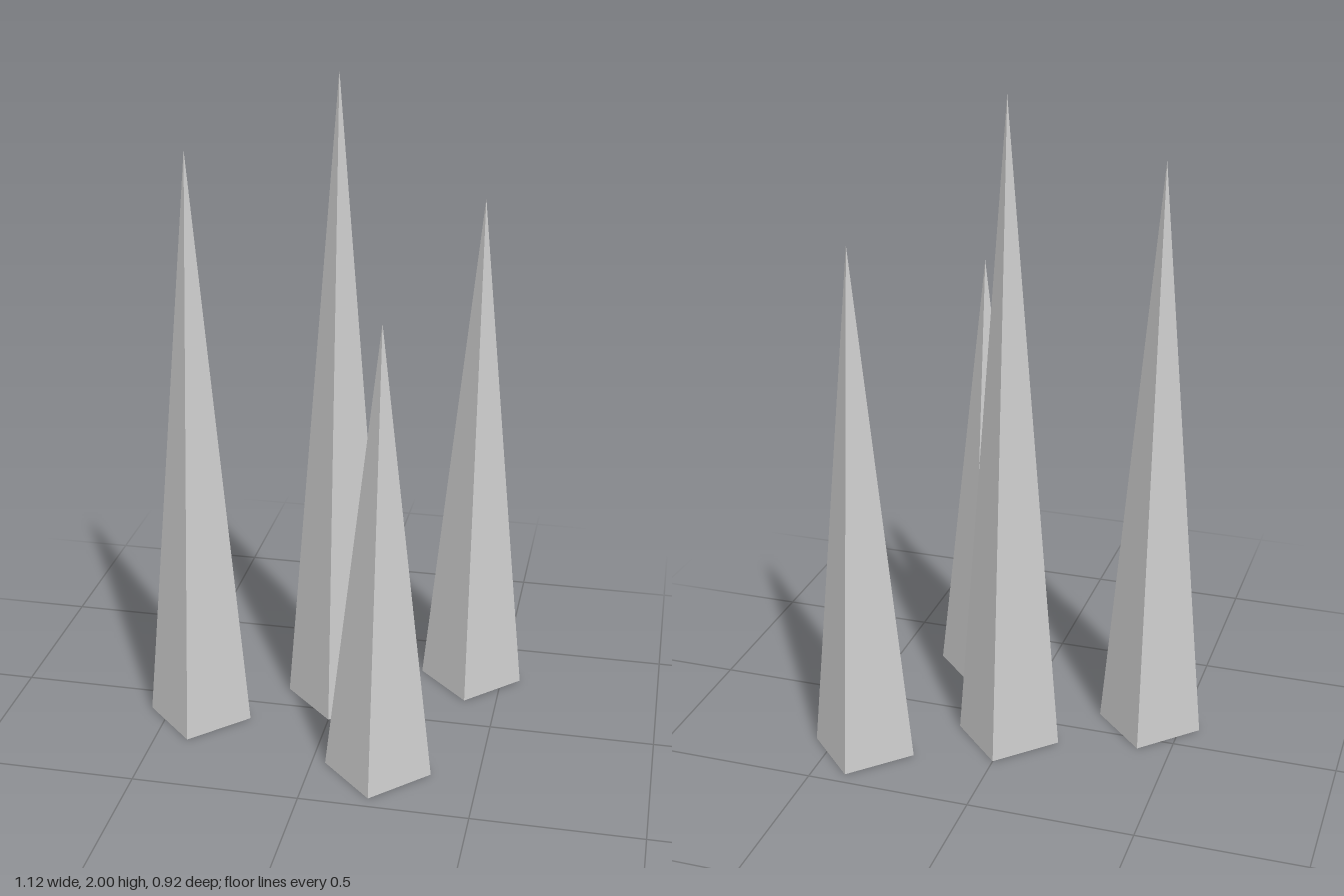
import * as THREE from 'three';

export function createModel() {
  const group = new THREE.Group();
  const material = new THREE.MeshStandardMaterial({ color: 0xcccccc, flatShading: true });

  // Four-sided spikes standing on the ground, corners along x and z: [x, z, height]
  const spikes = [
    [0, -0.1, 2.0],
    [-0.4, 0.1, 1.8],
    [0.4, -0.3, 1.6],
    [0.2, 0.3, 1.4],
  ];
  spikes.forEach(([x, z, height], i) => {
    const spike = new THREE.Mesh(new THREE.ConeGeometry(0.16, height, 4), material);
    spike.name = `spike${i + 1}`;
    spike.position.set(x, height / 2, z);
    group.add(spike);
  });

  return group;
}
